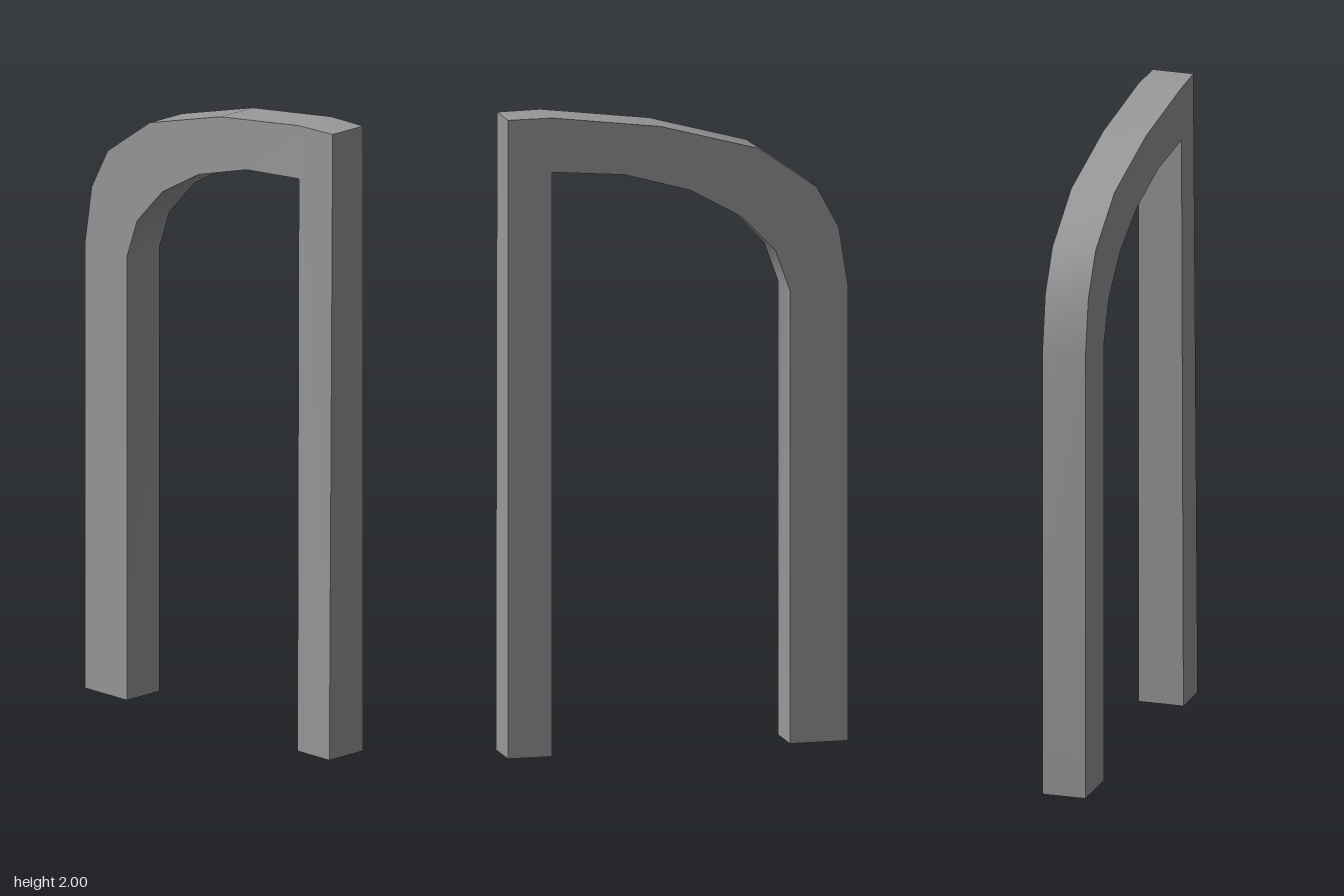
import * as THREE from 'three';
import { toCreasedNormals } from 'three/addons/utils/BufferGeometryUtils.js';

const BACK = -0.073, FRONT = 0.066;

export function createModel() {
  const model = new THREE.Group();
  model.name = 'archFrame';
  const grey = new THREE.MeshStandardMaterial({ color: 0x999999 });
  grey.name = 'grey';

  // Half-arch outline: outer edge left to right, then inner edge back
  const outline = [
    [-0.54, 0], [-0.54, 1.42], [-0.51, 1.61], [-0.44, 1.74], [-0.255, 1.87],
    [0.055, 1.955], [0.4, 2], [0.54, 2], [0.54, 0], [0.4, 0], [0.4, 1.83],
    [0.17, 1.81], [-0.04, 1.75], [-0.2, 1.66], [-0.31, 1.545], [-0.355, 1.42], [-0.355, 0],
  ].map(([x, y]) => new THREE.Vector2(x, y));

  const geometry = new THREE.ExtrudeGeometry(new THREE.Shape(outline), {
    depth: FRONT - BACK, bevelEnabled: false,
  });
  geometry.translate(0, 0, BACK);

  // The straight leg is slightly thicker at its foot and thinner at its outer top corner
  const p = geometry.attributes.position;
  for (let i = 0; i < p.count; i++) {
    if (p.getX(i) < 0.39 || p.getZ(i) < 0) continue;
    if (p.getY(i) < 0.1) p.setZ(i, 0.072);
    else if (p.getX(i) > 0.5) p.setZ(i, 0.058);
  }

  const arch = new THREE.Mesh(toCreasedNormals(geometry, 0.5), grey);
  arch.name = 'archWithLegs';
  model.add(arch);
  return model;
}
